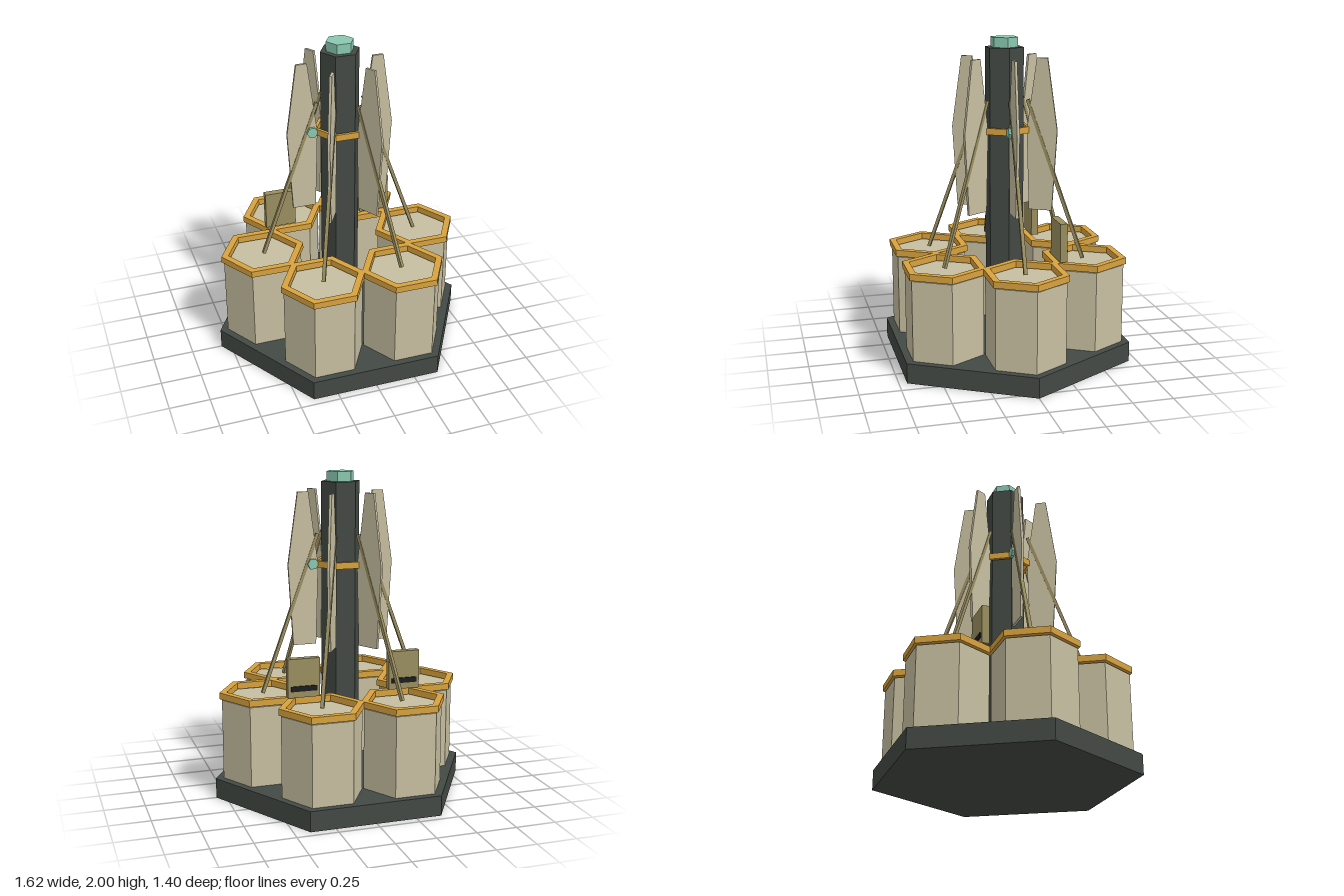
import * as THREE from 'three';

const mat = (name, color) => {
  const m = new THREE.MeshStandardMaterial({ color });
  m.name = name;
  return m;
};

export function createModel() {
  const model = new THREE.Group();
  model.name = 'hexTower';

  const dark = mat('darkSlate', 0x434944);
  const black = mat('nearBlack', 0x1b1d1c);
  const sand = mat('sand', 0xc7bfa1);
  const gold = mat('gold', 0xd8a23e);
  const olive = mat('olive', 0x9a8e60);
  const mint = mat('mint', 0x8ac8b1);

  const add = (parent, name, geometry, material, x = 0, y = 0, z = 0) => {
    const mesh = new THREE.Mesh(geometry, material);
    mesh.name = name;
    mesh.position.set(x, y, z);
    parent.add(mesh);
    return mesh;
  };

  // Six-sided prism with corners on the x axis, standing on its bottom face
  const hexPrism = (r, h) =>
    new THREE.CylinderGeometry(r, r, h, 6).toNonIndexed().rotateY(Math.PI / 6).translate(0, h / 2, 0);

  const hexPoints = (r) => Array.from({ length: 6 }, (_, i) =>
    new THREE.Vector2(r * Math.cos(i * Math.PI / 3), r * Math.sin(i * Math.PI / 3)));

  // Six-sided flat ring with an open middle
  const hexRing = (outer, inner, h) => {
    const shape = new THREE.Shape(hexPoints(outer));
    shape.holes.push(new THREE.Path(hexPoints(inner).reverse()));
    return new THREE.ExtrudeGeometry(shape, { depth: h, bevelEnabled: false }).rotateX(-Math.PI / 2);
  };

  // Base, central column, cap and collar
  const flat = [dark, mint].map((m) => { m.flatShading = true; return m; });
  sand.flatShading = true;
  add(model, 'base', hexPrism(0.81, 0.125), flat[0]);
  add(model, 'column', hexPrism(0.122, 1.815), flat[0], 0, 0.125);
  add(model, 'cap', hexPrism(0.086, 0.06), flat[1], 0, 1.94);
  add(model, 'collar', hexRing(0.165, 0.143, 0.04), gold, 0, 1.42);

  // Fin outline in radius and height
  const finShape = new THREE.Shape([
    [0.16, 0.94], [0.305, 0.94], [0.335, 1.44], [0.272, 1.88], [0.205, 1.88], [0.145, 1.44],
  ].map(([x, y]) => new THREE.Vector2(x, y)));
  const finGeometry = new THREE.ExtrudeGeometry(finShape, { depth: 0.016, bevelEnabled: false })
    .translate(0, 0, -0.008);

  // Strut leaning from the column down to the cell
  const top = new THREE.Vector2(0.148, 1.625);
  const foot = new THREE.Vector2(0.503, 0.65);
  const lean = foot.clone().sub(top);
  const strutGeometry = new THREE.BoxGeometry(0.02, lean.length(), 0.022)
    .rotateZ(Math.atan2(-lean.x, lean.y) + Math.PI)
    .translate((top.x + foot.x) / 2, (top.y + foot.y) / 2, 0);

  const cellGeometry = hexPrism(0.25, 0.5);
  const rimGeometry = hexRing(0.265, 0.22, 0.04);

  // Six sectors, each with a cell, its rim, a fin and a strut
  for (let i = 0; i < 6; i++) {
    const sector = new THREE.Group();
    sector.name = `sector${i + 1}`;
    sector.rotation.y = i * Math.PI / 3;
    add(sector, 'cell', cellGeometry, sand, 0.51, 0.125);
    add(sector, 'rim', rimGeometry, gold, 0.51, 0.633);
    add(sector, 'fin', finGeometry, sand);
    add(sector, 'strut', strutGeometry, olive);
    model.add(sector);
  }

  // Mirrored side lamps and rear panels with a dark slot
  for (const [side, s] of [['left', 1], ['right', -1]]) {
    const lamp = new THREE.CylinderGeometry(0.035, 0.035, 0.05, 6)
      .rotateY(Math.PI / 6).rotateX(Math.PI / 2);
    add(model, `${side}Lamp`, lamp, mint, s * 0.18, 1.44, 0);
    add(model, `${side}Panel`, new THREE.BoxGeometry(0.197, 0.238, 0.045), olive, s * 0.319, 0.801, -0.262);
    add(model, `${side}PanelSlot`, new THREE.BoxGeometry(0.16, 0.032, 0.008), black, s * 0.319, 0.737, -0.288);
  }

  return model;
}
